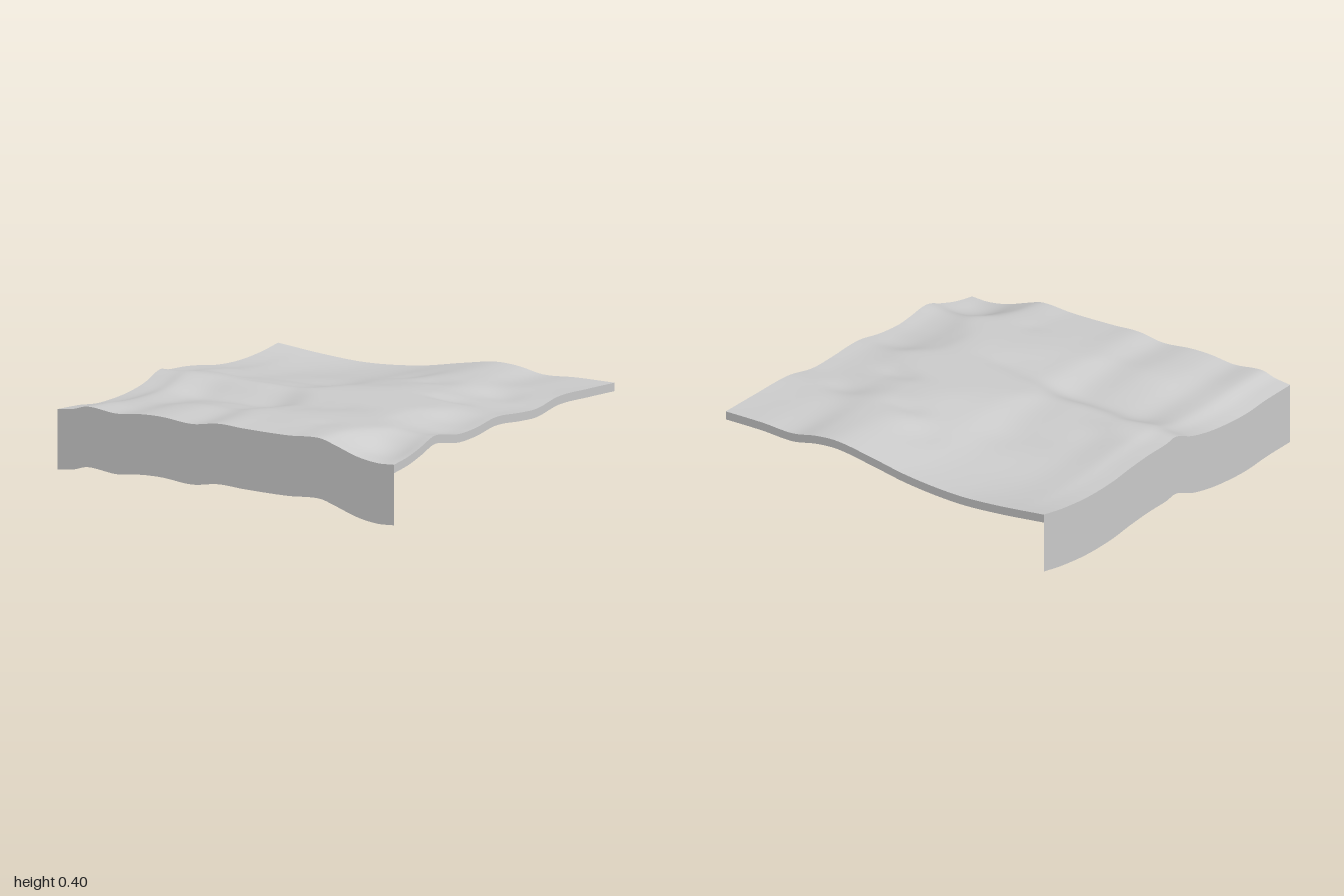
import * as THREE from 'three';

const SEGMENTS = 80;
const CEILING = 0.41;

// Height profiles along the four borders: [position, height]
const front = profile([[-1, .365], [-.9, .378], [-.82, .4], [-.65, .383], [-.5, .398], [-.38, .399],
  [-.2, .383], [-.04, .405], [.1, .397], [.37, .393], [.55, .403], [.65, .375], [.78, .333], [.9, .314], [1, .317]]);
const back = profile([[-1, .343], [-.7, .315], [-.45, .305], [-.15, .327], [.1, .37], [.3, .4],
  [.43, .393], [.58, .367], [.77, .375], [1, .375]]);
const left = profile([[-1, .343], [-.85, .325], [-.65, .317], [-.45, .33], [-.3, .355], [-.15, .375],
  [0, .387], [.07, .402], [.2, .36], [.35, .336], [.5, .328], [.65, .331], [.8, .35], [1, .365]]);
const right = profile([[-1, .375], [-.75, .388], [-.5, .398], [-.3, .37], [-.15, .376], [.07, .394],
  [.25, .372], [.4, .367], [.5, .38], [.63, .4], [.75, .365], [.87, .335], [1, .317]]);

// Hollows and knolls inside: x, z, height, x radius, z radius
const details = [
  [-.35, .27, -.028, .45, .1], [-.68, .0, .02, .14, .08], [-.4, .65, .012, .3, .15],
  [.85, .82, -.035, .16, .16], [.45, .68, -.025, .15, .1], [.3, -.45, -.022, .13, .08],
  [.72, -.42, -.022, .13, .1], [.55, -.13, -.022, .16, .07], [.05, -.6, -.012, .12, .12],
  [.85, .17, -.015, .15, .1], [.25, .3, -.012, .15, .1], [-.3, -.3, -.01, .2, .12],
];

// Smooth cubic through the listed points
function profile(points) {
  const slope = (i) => {
    const a = points[Math.max(i - 1, 0)], b = points[Math.min(i + 1, points.length - 1)];
    return (b[1] - a[1]) / (b[0] - a[0]);
  };
  return (t) => {
    let i = 0;
    while (i < points.length - 2 && t > points[i + 1][0]) i++;
    const [t0, y0] = points[i], [t1, y1] = points[i + 1];
    const d = t1 - t0, u = (t - t0) / d, u2 = u * u, u3 = u2 * u;
    return (2 * u3 - 3 * u2 + 1) * y0 + (u3 - 2 * u2 + u) * d * slope(i)
      + (3 * u2 - 2 * u3) * y1 + (u3 - u2) * d * slope(i + 1);
  };
}

// Border profiles blended across the square, plus the details, softly capped
function heightAt(x, z) {
  const u = (x + 1) / 2, v = (z + 1) / 2;
  let h = (1 - u) * left(z) + u * right(z) + (1 - v) * back(x) + v * front(x)
    - (1 - u) * ((1 - v) * back(-1) + v * front(-1))
    - u * ((1 - v) * back(1) + v * front(1));
  const inside = (1 - x ** 8) * (1 - z ** 8);
  for (const [cx, cz, amount, rx, rz] of details) {
    h += inside * amount * Math.exp(-(((x - cx) / rx) ** 2) - ((z - cz) / rz) ** 2);
  }
  const k = 0.006;
  return h - k * Math.log(1 + Math.exp((h - CEILING) / k));
}

export function createModel() {
  const group = new THREE.Group();
  group.name = 'terrainTile';
  const stone = new THREE.MeshStandardMaterial({ color: 0xcccccc, side: THREE.DoubleSide });
  stone.name = 'light grey';

  function add(name, geometry) {
    geometry.computeVertexNormals();
    const mesh = new THREE.Mesh(geometry, stone);
    mesh.name = name;
    group.add(mesh);
  }

  // Rolling ground sheet
  const ground = new THREE.PlaneGeometry(2, 2, SEGMENTS, SEGMENTS).rotateX(-Math.PI / 2);
  const p = ground.attributes.position;
  for (let i = 0; i < p.count; i++) p.setY(i, heightAt(p.getX(i), p.getZ(i)));
  add('ground', ground);

  // Skirts hanging from each border: deep at front and left, shallow at right and back
  function addSkirt(name, angle, depth) {
    const skirt = new THREE.PlaneGeometry(2, depth, SEGMENTS, 1)
      .translate(0, -depth / 2, 1).rotateY(angle);
    const q = skirt.attributes.position;
    for (let i = 0; i < q.count; i++) q.setY(i, q.getY(i) + heightAt(q.getX(i), q.getZ(i)));
    add(name, skirt);
  }
  addSkirt('frontWall', 0, 0.308);
  addSkirt('sideWall', -Math.PI / 2, 0.308);
  addSkirt('sideRim', Math.PI / 2, 0.043);
  addSkirt('backRim', Math.PI, 0.043);

  return group;
}
